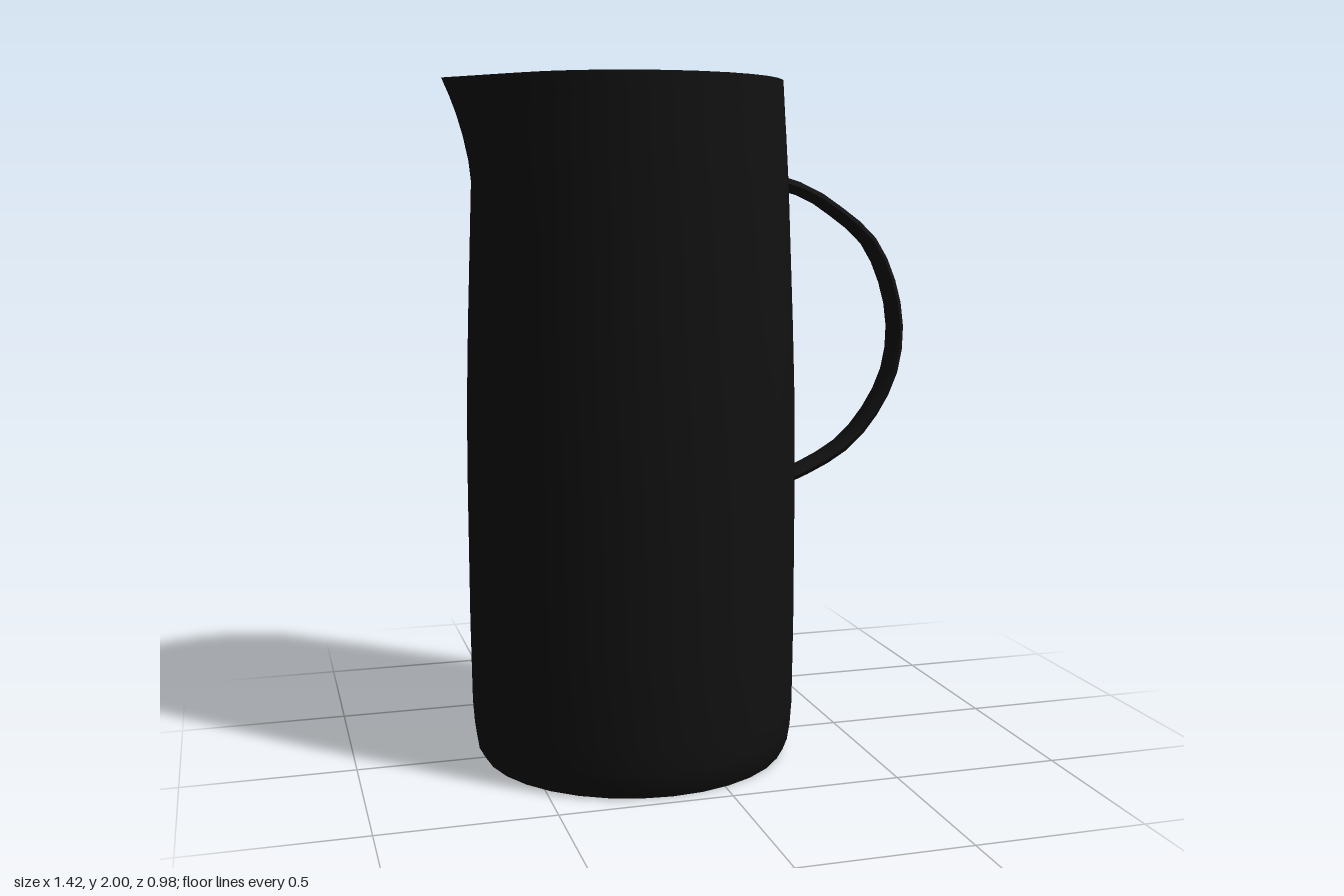
import * as THREE from 'three';
import { toCreasedNormals } from 'three/addons/utils/BufferGeometryUtils.js';

const CENTER_X = -0.163;
const WALL = 0.014;

// Outer radius at each height, from the foot to the rim
const OUTER = [
  [0.457, 0], [0.474, 0.03], [0.482, 0.08], [0.487, 0.15], [0.49, 0.4], [0.49, 0.8], [0.488, 1.05],
  [0.48, 1.3], [0.472, 1.5], [0.464, 1.7], [0.46, 1.77], [0.456, 1.84], [0.452, 1.9], [0.449, 1.95], [0.446, 2],
];

// How far the spout tip stands out from the round body
function spoutReach(y) {
  return y <= 1.65 ? 0 : 0.101 * Math.pow((y - 1.65) / 0.35, 1.8);
}

// Pulls the wall into straight tangents that meet at the spout tip (-x)
function pullSpout(geometry) {
  const p = geometry.attributes.position;
  for (let i = 0; i < p.count; i++) {
    const x = p.getX(i), z = p.getZ(i);
    const r = Math.hypot(x, z);
    const reach = spoutReach(p.getY(i));
    if (r < 0.1 || reach === 0) continue;
    const spread = Math.acos(r / (r + reach));
    const angle = Math.abs(Math.atan2(z, -x));
    if (angle >= spread) continue;
    const k = 1 / Math.cos(spread - angle);
    p.setX(i, x * k);
    p.setZ(i, z * k);
  }
  return geometry;
}

// Hollow body: up the outside, over the rim, down the inside to the floor
function createBody(material) {
  const inner = OUTER.slice(3).reverse().map(([r, y]) => [r - WALL, y]);
  const profile = [[0, 0], ...OUTER, ...inner, [0.462, 0.07], [0.43, 0.03], [0, 0.03]]
    .map(([r, y]) => new THREE.Vector2(r, y));
  const lathe = pullSpout(new THREE.LatheGeometry(profile, 32, Math.PI / 2));
  const body = new THREE.Mesh(toCreasedNormals(lathe, 0.6), material);
  body.name = 'jugBody';
  body.position.x = CENTER_X;
  return body;
}

// Flat strap handle: a thin tube widened in z, flaring slightly at its ends
function createHandle(material) {
  const path = new THREE.CatmullRomCurve3([
    [0.293, 1.712], [0.39, 1.68], [0.48, 1.625], [0.59, 1.535], [0.655, 1.41], [0.684, 1.27],
    [0.668, 1.13], [0.605, 1.005], [0.52, 0.91], [0.42, 0.85], [0.318, 0.808],
  ].map(([x, y]) => new THREE.Vector3(x, y, 0)));
  const geometry = new THREE.TubeGeometry(path, 18, 0.021, 8, false);
  const p = geometry.attributes.position;
  for (let i = 0; i < p.count; i++) {
    const flare = Math.max(0, 0.36 - p.getX(i)) * 4;
    p.setZ(i, p.getZ(i) * (2.25 + flare));
  }
  const handle = new THREE.Mesh(toCreasedNormals(geometry, 0.9), material);
  handle.name = 'handle';
  return handle;
}

export function createModel() {
  const material = new THREE.MeshStandardMaterial({ color: 0x111111 });
  const jug = new THREE.Group();
  jug.name = 'jug';
  jug.add(createBody(material), createHandle(material));
  return jug;
}
